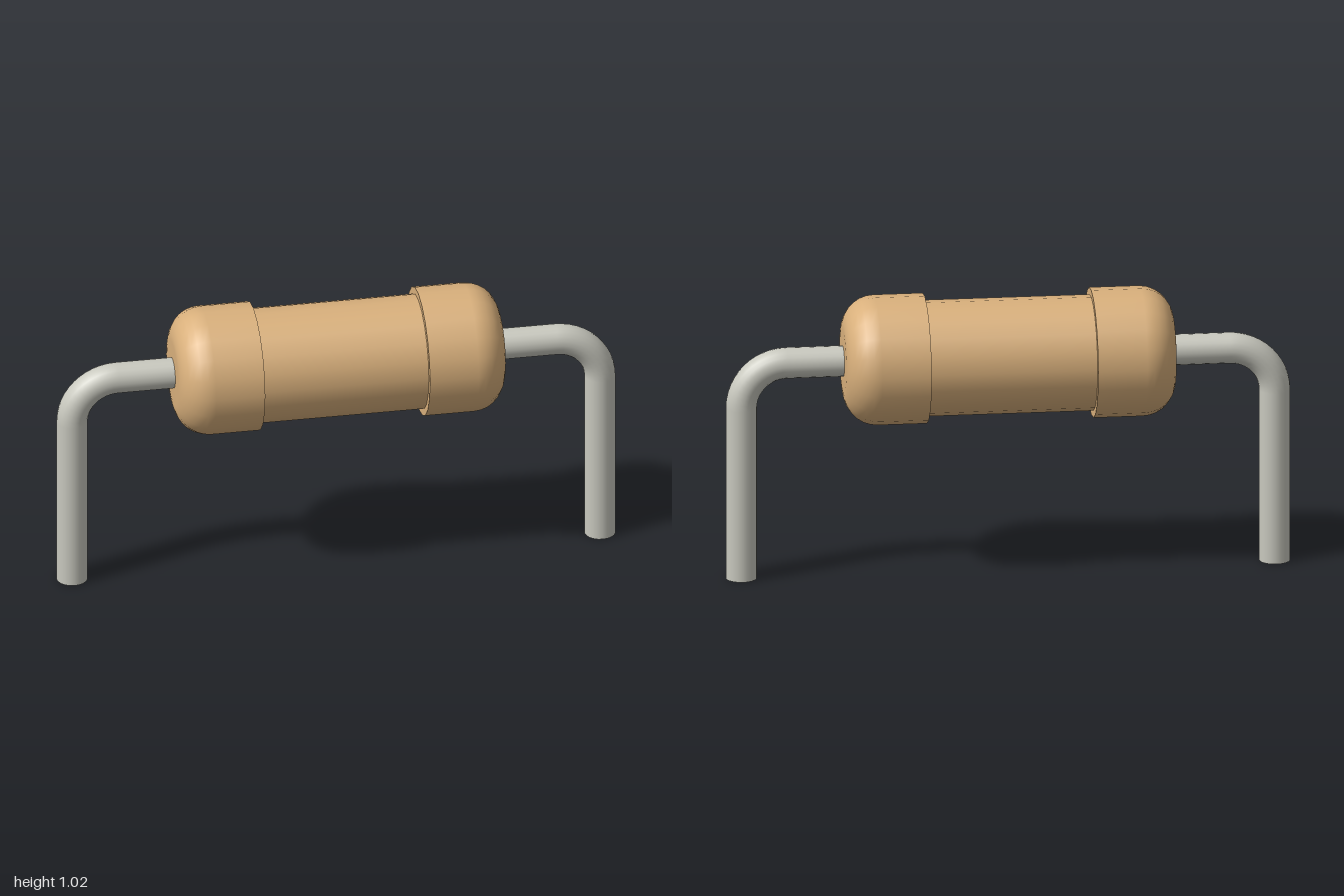
import * as THREE from 'three';

const AXIS_Y = 0.79;    // height of the body axis
const SIDES = 20;       // sides around the body
const CAP_R = 0.23, WAIST_R = 0.205;
const CAP_IN = 0.295, CAP_OUT = 0.585, FILLET = 0.115;
const WIRE_R = 0.055, WIRE_X = 0.945, BEND_R = 0.16, WIRE_SIDES = 20;

export function createModel() {
  const model = new THREE.Group();
  const bodyMat = new THREE.MeshStandardMaterial({ color: 0xd9b07c });
  const wireMat = new THREE.MeshStandardMaterial({ color: 0xc8c8be });

  const add = (parent, name, geometry, material, x = 0, y = 0) => {
    const mesh = new THREE.Mesh(geometry, material);
    mesh.name = name;
    mesh.position.set(x, y, 0);
    parent.add(mesh);
    return mesh;
  };
  const alongX = (geometry) => geometry.rotateZ(-Math.PI / 2);
  const lathe = (points) => alongX(new THREE.LatheGeometry(points, SIDES));

  // Narrow middle of the body
  add(model, 'waist', alongX(new THREE.CylinderGeometry(WAIST_R, WAIST_R, 2 * CAP_IN + 0.02, SIDES, 1, true)),
    bodyMat, 0, AXIS_Y);

  // Rounded cap: straight band, quarter-round shoulder, flat end
  const capProfile = [new THREE.Vector2(CAP_R, CAP_IN)];
  for (let i = 0; i <= 7; i++) {
    const a = (i / 7) * Math.PI / 2;
    capProfile.push(new THREE.Vector2(
      CAP_R - FILLET + FILLET * Math.cos(a), CAP_OUT - FILLET + FILLET * Math.sin(a)));
  }
  capProfile.push(new THREE.Vector2(0, CAP_OUT));
  const capGeo = lathe(capProfile);

  // Step between cap and waist
  const lipGeo = lathe([new THREE.Vector2(WAIST_R - 0.01, CAP_IN), new THREE.Vector2(CAP_R, CAP_IN)]);

  // Wire pieces: straight lead, bend, leg
  const bendX = WIRE_X - BEND_R, bendY = AXIS_Y - BEND_R;
  const leadStart = CAP_OUT - 0.03;
  const leadGeo = alongX(new THREE.CylinderGeometry(WIRE_R, WIRE_R, bendX - leadStart, WIRE_SIDES, 1, true));
  const bendGeo = new THREE.TorusGeometry(BEND_R, WIRE_R, WIRE_SIDES, 12, Math.PI / 2);
  const legGeo = new THREE.CylinderGeometry(WIRE_R, WIRE_R, bendY, WIRE_SIDES, 1, true);
  const tipGeo = new THREE.CircleGeometry(WIRE_R, WIRE_SIDES).rotateX(Math.PI / 2).rotateY(Math.PI / 2);

  for (const side of ['left', 'right']) {
    const half = new THREE.Group();
    half.name = side + 'End';
    if (side === 'right') half.rotation.y = Math.PI;
    add(half, side + 'Cap', capGeo, bodyMat, 0, AXIS_Y);
    add(half, side + 'CapLip', lipGeo, bodyMat, 0, AXIS_Y);
    add(half, side + 'Lead', leadGeo, wireMat, (bendX + leadStart) / 2, AXIS_Y);
    add(half, side + 'Bend', bendGeo, wireMat, bendX, bendY);
    add(half, side + 'Leg', legGeo, wireMat, WIRE_X, bendY / 2);
    add(half, side + 'LegTip', tipGeo, wireMat, WIRE_X, 0);
    model.add(half);
  }
  return model;
}
